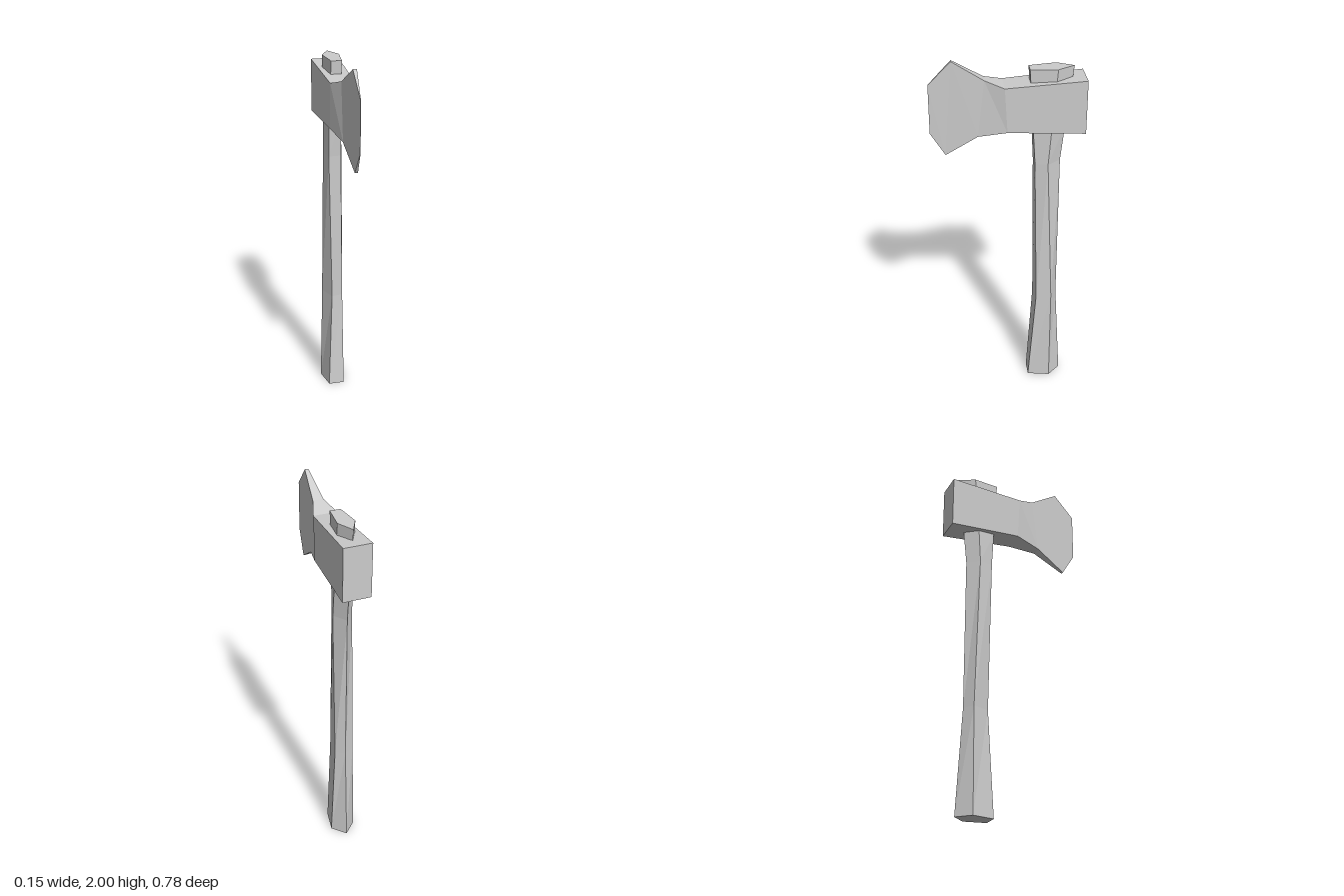
import * as THREE from 'three';

const material = new THREE.MeshStandardMaterial({ color: 0xcccccc, flatShading: true });

// Skin a stack of equal-sized rings (counter-clockwise seen from the last ring) and cap both ends.
function loft(name, rings) {
  const n = rings[0].length;
  const index = [];
  for (let r = 0; r < rings.length - 1; r++) {
    for (let i = 0; i < n; i++) {
      const a = r * n + i, b = r * n + (i + 1) % n;
      index.push(a, b, b + n, a, b + n, a + n);
    }
  }
  const last = (rings.length - 1) * n;
  for (let i = 1; i < n - 1; i++) {
    index.push(0, i + 1, i, last, last + i, last + i + 1);
  }
  const indexed = new THREE.BufferGeometry();
  indexed.setAttribute('position', new THREE.Float32BufferAttribute(rings.flat(2), 3));
  indexed.setIndex(index);
  const geometry = indexed.toNonIndexed();
  geometry.computeVertexNormals();
  const mesh = new THREE.Mesh(geometry, material);
  mesh.name = name;
  return mesh;
}

export function createModel() {
  const group = new THREE.Group();
  group.name = 'axe';

  // Handle: five-sided rings, [y, front right, mid right, back, mid left, front left] as [x, z]
  const handle = [
    [0, [0.042, -0.12], [0.065, -0.24], [0, -0.31], [-0.07, -0.24], [-0.045, -0.12]],
    [0.57, [0.042, -0.16], [0.047, -0.243], [0, -0.277], [-0.058, -0.24], [-0.02, -0.147]],
    [1.42, [0.03, -0.142], [0.049, -0.207], [0, -0.277], [-0.052, -0.215], [-0.036, -0.14]],
    [1.62, [0.028, -0.13], [0.047, -0.222], [0, -0.298], [-0.048, -0.225], [-0.036, -0.13]],
    [1.945, [0.028, -0.11], [0.045, -0.247], [0, -0.335], [-0.045, -0.25], [-0.028, -0.11]],
  ];
  group.add(loft('handle', handle.map(([y, ...ring]) => ring.map(([x, z]) => [x, y, z]))));

  // Head: four-sided rings from poll to cutting edge, [top z, top y, bottom z, bottom y, half top x, half bottom x]
  const head = [
    [-0.392, 1.89, -0.392, 1.602, 0.075, 0.075],
    [0.018, 1.867, 0.005, 1.626, 0.063, 0.063],
    [0.115, 1.9, 0.15, 1.596, 0.028, 0.028],
    [0.273, 2.0, 0.315, 1.492, 0.01, 0.008],
    [0.39, 1.88, 0.39, 1.615, 0.001, 0.001],
  ];
  group.add(loft('axeHead', head.map(([zt, yt, zb, yb, xt, xb]) => [
    [xb, yb, zb], [xt, yt, zt], [-xt, yt, zt], [-xb, yb, zb],
  ])));

  return group;
}
